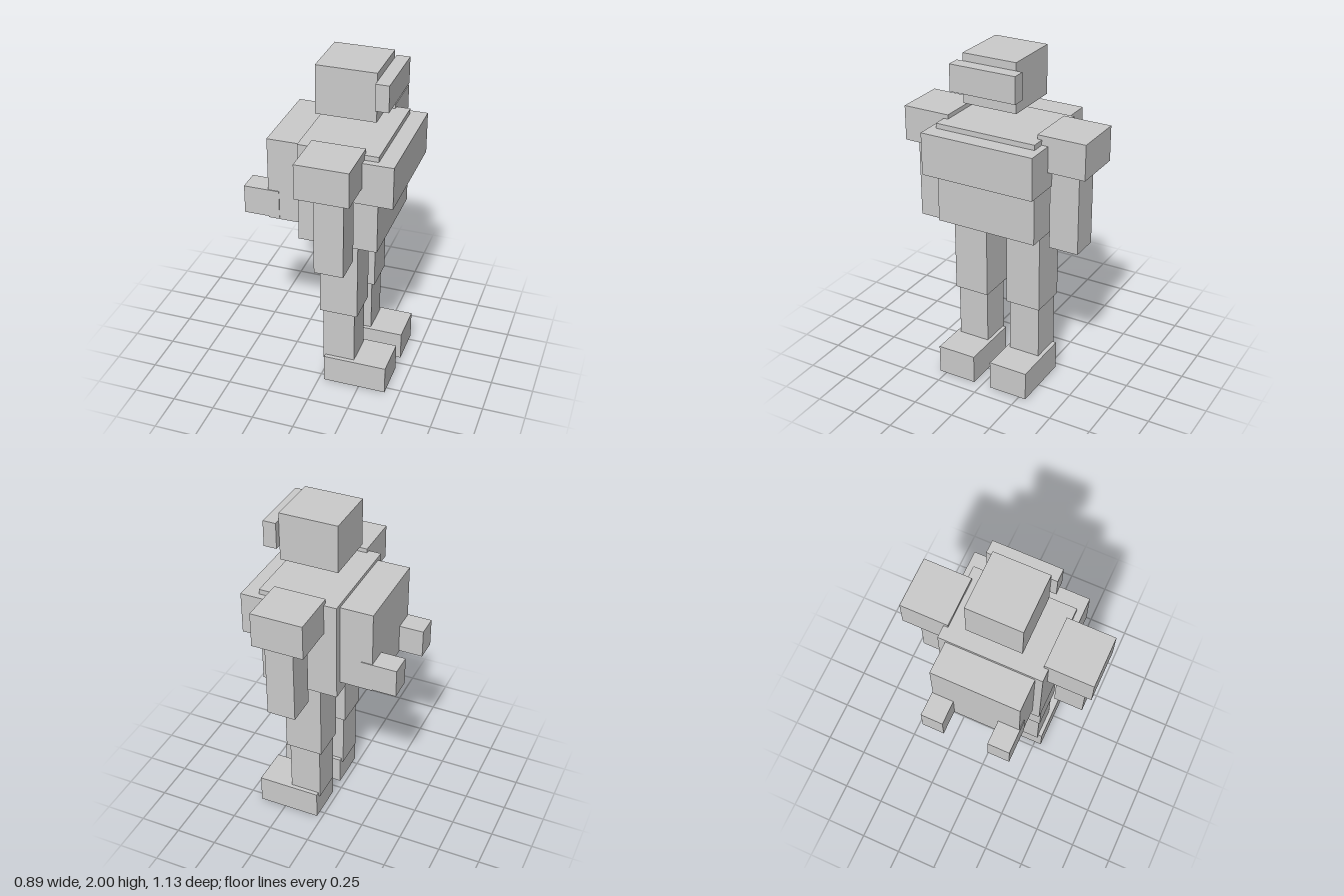
import * as THREE from 'three';

const material = new THREE.MeshStandardMaterial({ color: 0xcccccc, flatShading: true });

// Box given by its [min, max] extent on each axis
function block(name, [x0, x1], [y0, y1], [z0, z1]) {
  const mesh = new THREE.Mesh(new THREE.BoxGeometry(x1 - x0, y1 - y0, z1 - z0), material);
  mesh.position.set((x0 + x1) / 2, (y0 + y1) / 2, (z0 + z1) / 2);
  mesh.name = name;
  return mesh;
}

export function createModel() {
  const robot = new THREE.Group();
  robot.name = 'blockRobot';

  // Head floats above the body; the robot looks along +x
  robot.add(
    block('head', [-0.055, 0.29], [1.715, 2], [-0.163, 0.163]),
    block('visor', [0.29, 0.367], [1.8, 1.955], [-0.2, 0.2]),
    block('torso', [-0.11, 0.35], [0.993, 1.59], [-0.307, 0.307]),
    block('chestPlate', [0.2, 0.445], [1.31, 1.56], [-0.345, 0.345]),
    block('backpack', [-0.303, -0.1], [1.07, 1.57], [-0.263, 0.263]),
  );

  // Limbs and thrusters, one set on each side
  const paired = [
    ['shoulder', [-0.035, 0.27], [1.408, 1.615], [0.28, 0.567]],
    ['arm', [0.053, 0.222], [0.928, 1.41], [0.335, 0.511]],
    ['thigh', [0.005, 0.231], [0.503, 0.985], [0.066, 0.279]],
    ['shin', [0.021, 0.212], [0.15, 0.505], [0.077, 0.268]],
    ['foot', [0.033, 0.413], [0, 0.175], [0.055, 0.293]],
    ['thruster', [-0.447, -0.238], [1.08, 1.25], [0.136, 0.268]],
  ];
  for (const [name, x, y, [z0, z1]] of paired) {
    robot.add(block(name + 'Near', x, y, [z0, z1]));
    robot.add(block(name + 'Far', x, y, [-z1, -z0]));
  }

  return robot;
}
